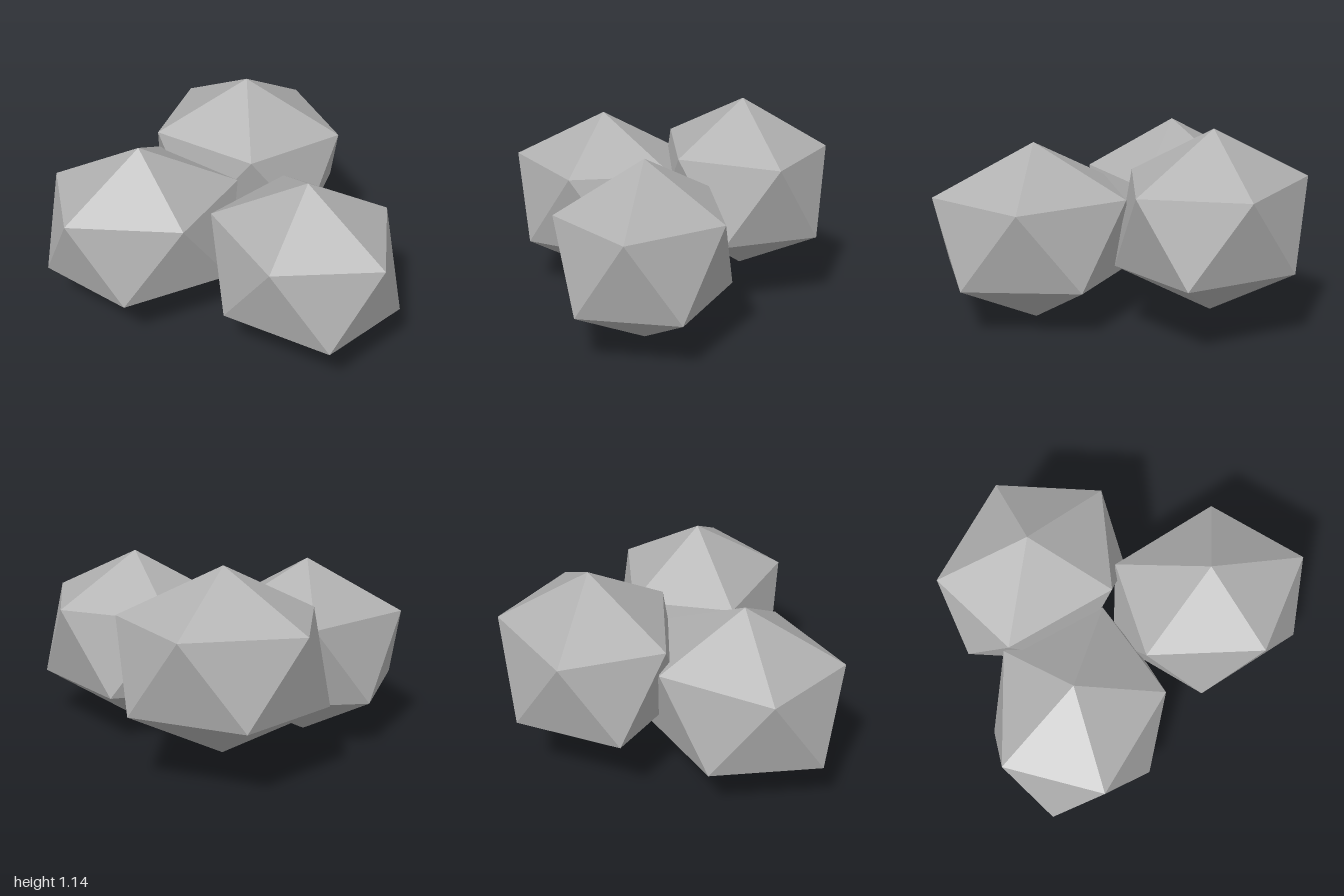
import * as THREE from 'three';

const R = 0.51; // half height of every rock

// Stretched icosahedron with upright axis; u and v are [x, z] axes of its upper ring
function rockGeometry(u, v) {
  const upper = [], lower = [], pos = [];
  for (let k = 0; k < 5; k++) {
    const a = (k * Math.PI * 2) / 5, c = Math.cos(a), s = Math.sin(a);
    upper.push([u[0] * c + v[0] * s, R * 0.447, u[1] * c + v[1] * s]);
  }
  // the lower ring mirrors the upper one through the centre
  for (let k = 0; k < 5; k++) lower.push(upper[(k + 3) % 5].map((n) => -n));

  const top = [0, R, 0], bottom = [0, -R, 0];
  for (let k = 0; k < 5; k++) {
    const n = (k + 1) % 5;
    pos.push(...top, ...upper[n], ...upper[k]); // cap
    pos.push(...upper[k], ...upper[n], ...lower[k]); // belt, pointing down
    pos.push(...lower[n], ...lower[k], ...upper[n]); // belt, pointing up
    pos.push(...bottom, ...lower[k], ...lower[n]); // base
  }
  const g = new THREE.BufferGeometry();
  g.setAttribute('position', new THREE.Float32BufferAttribute(pos, 3));
  g.computeVertexNormals();
  return g;
}

export function createModel() {
  const group = new THREE.Group();
  group.name = 'rockCluster';

  const stone = new THREE.MeshStandardMaterial({ color: 0xb0b0b0 });
  stone.name = 'stoneGrey';
  stone.flatShading = true;

  const rocks = [
    { name: 'leftRock', at: [0.433, 0.51, -0.026], u: [0.565, 0], v: [0, 0.482] },
    { name: 'frontRock', at: [-0.468, 0.51, 0.388], u: [-0.003, 0.535], v: [-0.505, 0.066] },
    { name: 'backRock', at: [-0.468, 0.633, -0.442], u: [-0.065, -0.487], v: [0.538, -0.127] },
  ];
  for (const { name, at, u, v } of rocks) {
    const rock = new THREE.Mesh(rockGeometry(u, v), stone);
    rock.name = name;
    rock.position.set(...at);
    group.add(rock);
  }
  return group;
}
